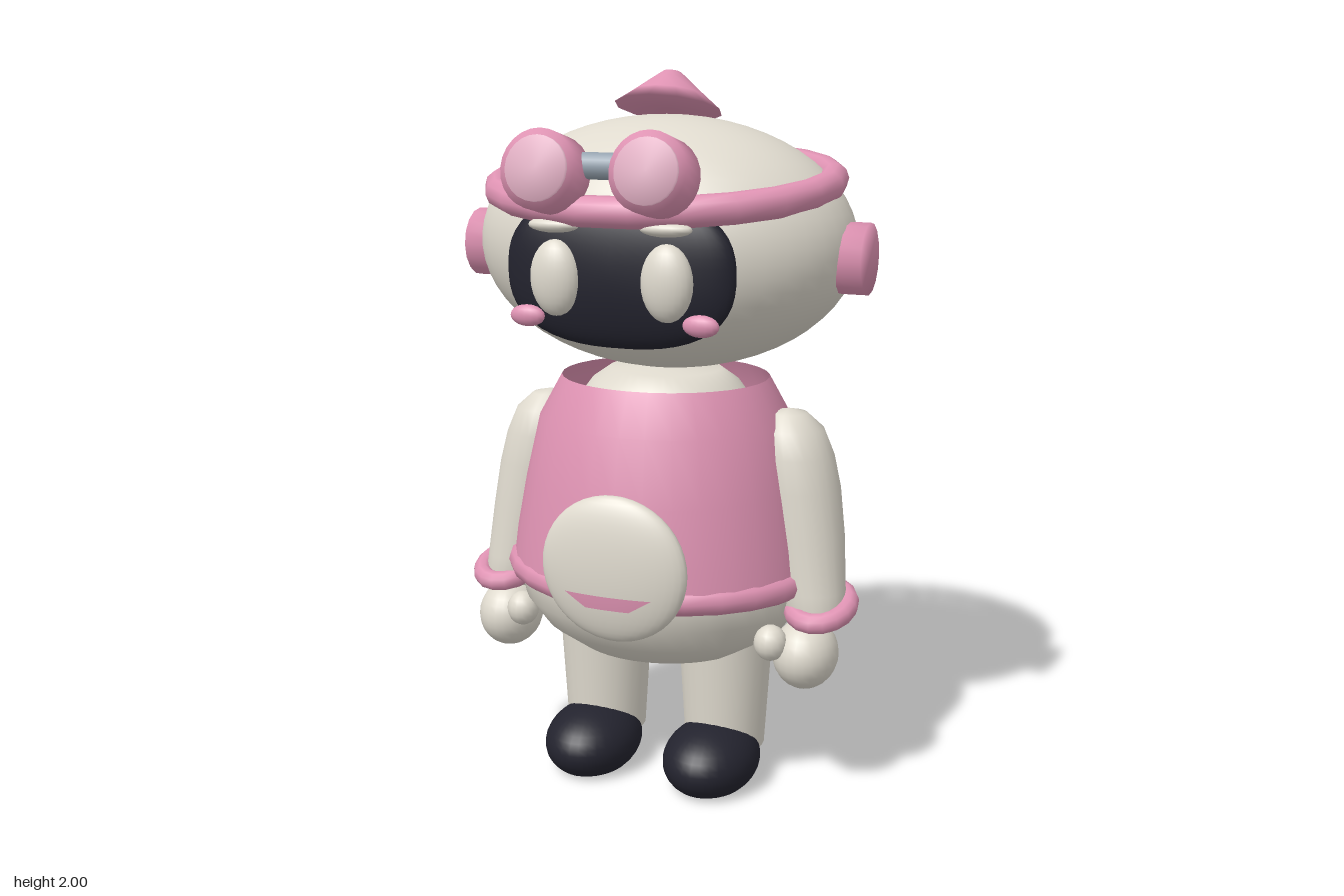
import * as THREE from 'three';
import { mergeVertices } from 'three/addons/utils/BufferGeometryUtils.js';
import { RoundedBoxGeometry } from 'three/addons/geometries/RoundedBoxGeometry.js';

const mat = (name, color) => {
  const m = new THREE.MeshStandardMaterial({ color });
  m.name = name;
  return m;
};

export function createModel() {
  const model = new THREE.Group();
  model.name = 'figure';
  const pink = mat('pink', 0xdf93b3);
  pink.side = THREE.DoubleSide;
  const cream = mat('cream', 0xdfdace);
  const dark = mat('dark navy', 0x23232e);
  const lensPink = mat('pale pink', 0xe0aec2);
  const metal = mat('blue grey', 0x98a5b1);

  function add(name, geo, material, x = 0, y = 0, z = 0) {
    const mesh = new THREE.Mesh(geo, material);
    mesh.name = name;
    mesh.position.set(x, y, z);
    model.add(mesh);
    return mesh;
  }
  const ellipsoid = (rx, ry, rz, n = 32) =>
    new THREE.SphereGeometry(1, n, Math.round(n * 0.6)).scale(rx, ry, rz);
  const lathe = (pts, n = 32) =>
    new THREE.LatheGeometry(pts.map(([r, y]) => new THREE.Vector2(r, y)), n);
  // Joins all corners so that the shading runs smoothly over every edge
  const weld = (geo) => {
    geo.deleteAttribute('uv');
    geo.deleteAttribute('normal');
    const g = mergeVertices(geo);
    g.computeVertexNormals();
    return g;
  };
  // Moves the vertices by a rule and smooths the result
  const reshape = (geo, rule) => {
    const g = weld(geo);
    const p = g.attributes.position, v = new THREE.Vector3();
    for (let i = 0; i < p.count; i++) {
      rule(v.fromBufferAttribute(p, i));
      p.setXYZ(i, v.x, v.y, v.z);
    }
    g.computeVertexNormals();
    return g;
  };
  // Horizontal ring with an oval outline
  const ring = (rx, rz, tube, n) =>
    reshape(new THREE.TorusGeometry(1, tube, 10, n).rotateX(Math.PI / 2), (v) => {
      const r = Math.hypot(v.x, v.z);
      v.x *= (rx + r - 1) / r;
      v.z *= (rz + r - 1) / r;
    });
  const softCylinder = (r, h, n) => weld(new THREE.CylinderGeometry(r, r, h, n));

  // Head and visor, the visor slightly squared
  add('head', ellipsoid(0.537, 0.346, 0.387, 48), cream, 0, 1.535, -0.03);
  add('visor', reshape(ellipsoid(1, 1, 1, 44), (v) => {
    const r = Math.hypot(v.x, v.y);
    const n = 2.5;
    const k = r > 1e-4 ? r / (Math.abs(v.x) ** n + Math.abs(v.y) ** n) ** (1 / n) : 1;
    v.set(v.x * k * 0.32, v.y * k * 0.2, v.z * 0.07);
  }), dark, 0, 1.49, 0.297);

  // Tilted halo band
  add('headBand', ring(0.466, 0.396, 0.041, 22), pink, 0, 1.7, -0.012).rotation.x = 0.125;

  // Cone on the crown, leaning back
  add('crownCone', weld(lathe([[0, 0], [0.148, 0], [0.1, 0.038], [0.05, 0.08], [0.025, 0.1],
    [0, 0.106]], 12)), pink, 0, 1.895, -0.042).rotation.x = -0.28;

  // Body and open-topped vest
  add('body', lathe([[0, 0.342], [0.13, 0.352], [0.26, 0.39], [0.355, 0.455], [0.41, 0.53],
    [0.43, 0.62], [0.4, 0.78], [0.335, 0.93], [0.27, 1.07], [0.21, 1.15], [0.16, 1.185],
    [0, 1.2]], 40).scale(1, 1, 0.91), cream, 0, 0, -0.022);
  add('vest', lathe([[0.444, 0.61], [0.43, 0.72], [0.402, 0.87], [0.36, 1.05], [0.296, 1.165]], 32)
    .scale(1, 1, 0.91), pink, 0, 0, -0.022);
  add('vestHem', ring(0.425, 0.378, 0.04, 28), pink, 0, 0.62, -0.032);

  // Belly pouch, and its slit laid over the curved front
  add('bellyPouch', ellipsoid(0.21, 0.203, 0.055, 36), cream, 0, 0.7, 0.347);
  add('pouchSlit', reshape(new THREE.PlaneGeometry(0.25, 0.038, 24, 6), (v) => {
    v.x *= 0.75 + v.y * 13;
    v.y += 0.619;
    const d = 1 - (v.x / 0.21) ** 2 - ((v.y - 0.7) / 0.203) ** 2;
    v.z = 0.351 + 0.055 * Math.sqrt(Math.max(d, 0));
  }), pink);

  // Backpack
  add('backpack', new RoundedBoxGeometry(0.38, 0.385, 0.2, 3, 0.03), pink, 0, 0.857, -0.4);

  // Bar joining the goggles
  add('goggleBar', new THREE.CylinderGeometry(0.034, 0.034, 0.4, 12).rotateZ(Math.PI / 2),
    metal, 0, 1.765, 0.38);

  // Paired parts
  for (const [side, s] of [['left', 1], ['right', -1]]) {
    const pair = (name, geo, material, x, y, z) =>
      add(side + name, geo, material, s * x, y, z);

    pair('Eye', ellipsoid(0.07, 0.1, 0.045, 24), cream, 0.155, 1.475, 0.355);
    pair('Brow', ellipsoid(0.072, 0.02, 0.03, 16), cream, 0.155, 1.612, 0.363);
    pair('Cheek', ellipsoid(0.05, 0.029, 0.022, 16), pink, 0.243, 1.37, 0.345);
    pair('Ear', softCylinder(0.096, 0.12, 16).rotateZ(Math.PI / 2), pink, 0.518, 1.513, -0.025);

    // Goggle housing and lens, facing slightly upward
    const goggle = new THREE.Group();
    goggle.name = side + 'Goggle';
    goggle.position.set(s * 0.148, 1.75, 0.418);
    goggle.rotation.x = -0.22;
    const housing = new THREE.Mesh(softCylinder(0.102, 0.1, 24).rotateX(Math.PI / 2), pink);
    housing.name = side + 'GoggleHousing';
    const lens = new THREE.Mesh(softCylinder(0.083, 0.03, 24).rotateX(Math.PI / 2), lensPink);
    lens.name = side + 'GoggleLens';
    lens.position.z = 0.048;
    goggle.add(housing, lens);
    model.add(goggle);

    // Arm, bending outward and forward
    const arm = reshape(lathe([[0, 0.49], [0.06, 0.497], [0.084, 0.53], [0.092, 0.6],
      [0.106, 0.75], [0.112, 0.88], [0.107, 0.97], [0.09, 1.04], [0.05, 1.083],
      [0, 1.095]], 24), (v) => {
      const d = 1.05 - v.y;
      v.x += s * (0.37 + 0.185 * d);
      v.z += -0.027 + 0.2 * d * d;
    });
    pair('Arm', arm, cream, 0, 0, 0);
    const cuff = pair('Cuff', ring(0.075, 0.098, 0.029, 16), pink, 0.482, 0.558, 0.025);
    cuff.rotation.x = 0.25;
    pair('Hand', ellipsoid(0.09, 0.098, 0.107, 24), cream, 0.455, 0.43, 0.072);
    pair('Thumb', ellipsoid(0.046, 0.05, 0.046, 16), cream, 0.377, 0.475, 0.148);

    // Leg and flat-soled shoe
    pair('Leg', new THREE.CylinderGeometry(0.14, 0.115, 0.41, 24), cream, 0.187, 0.295, -0.021);
    const shoe = reshape(ellipsoid(0.135, 0.105, 0.175, 32), (v) => {
      v.y = Math.max(v.y, -0.078);
    });
    pair('Shoe', shoe, dark, 0.185, 0.078, 0.082);
  }
  return model;
}
